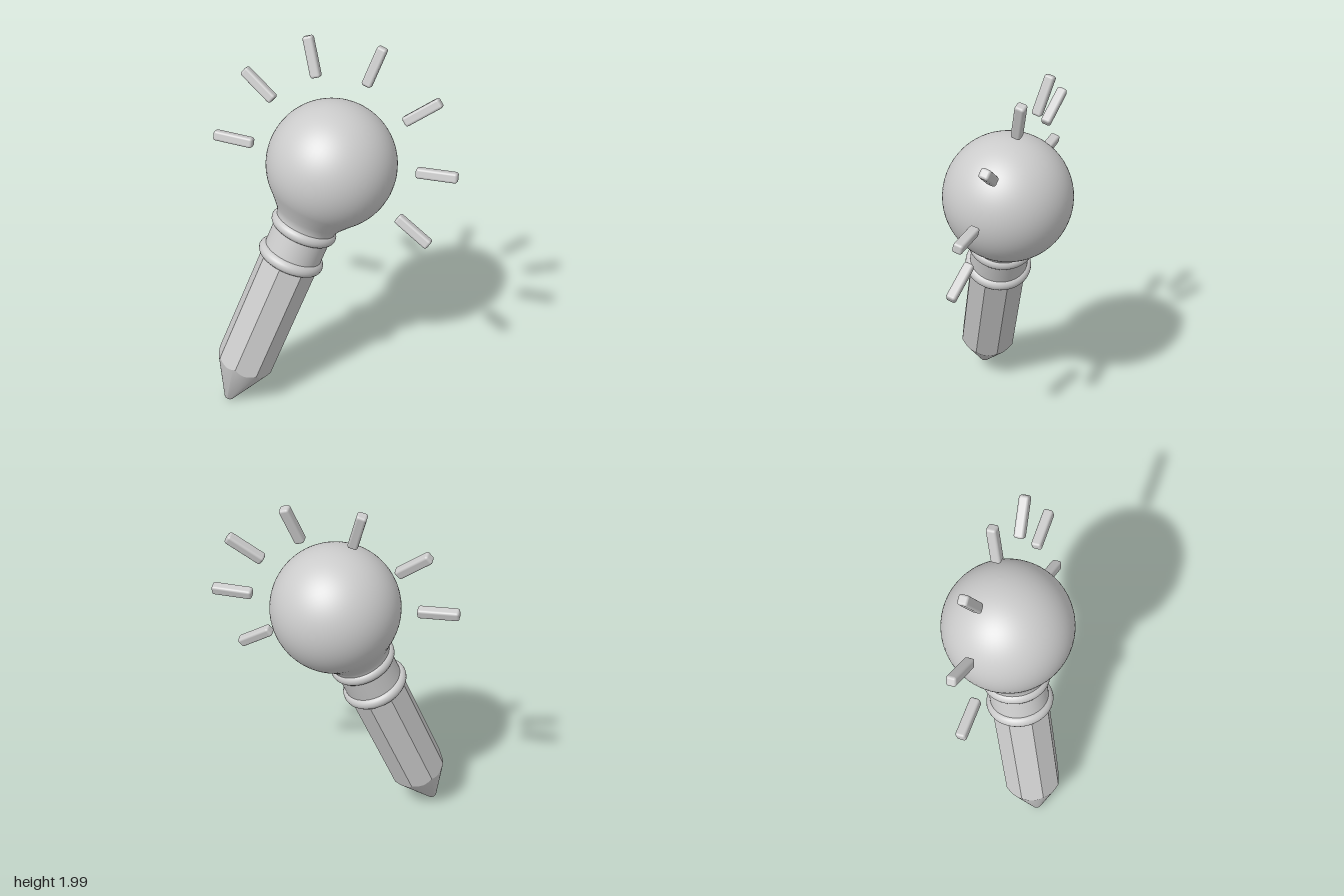
import * as THREE from 'three';
import { toCreasedNormals } from 'three/addons/utils/BufferGeometryUtils.js';
import { RoundedBoxGeometry } from 'three/addons/geometries/RoundedBoxGeometry.js';

const mat = new THREE.MeshStandardMaterial({ color: 0xcccccc });
const AXIS = new THREE.Vector3(0.386, 0.916, -0.107).normalize();
const BULB = new THREE.Vector3(0, 1.373, 0);
const LENGTH = 1.49; // pencil tip to bulb centre
const FLAT = 0.144; // centre of the shaft to each of its eight flats

const v2 = (p) => new THREE.Vector2(p[0], p[1]);

function add(parent, name, geometry) {
  const mesh = new THREE.Mesh(geometry, mat);
  mesh.name = name;
  parent.add(mesh);
  return mesh;
}

// radius of the octagon at an angle, flats facing the main axes
function octRadius(angle) {
  const q = Math.PI / 4;
  const a = angle - q * Math.round(angle / q);
  return FLAT / Math.cos(a);
}

// height on the sharpened cone at a given radius
const coneHeight = (r) => 0.01 + (r - 0.025) / 0.52;

// lathe whose wide rings are pressed to the octagon; low rings follow the cone
function octLathe(profile, crease) {
  const g = new THREE.LatheGeometry(profile.map(v2), 64);
  const p = g.attributes.position;
  for (let i = 0; i < p.count; i++) {
    const x = p.getX(i), y = p.getY(i), z = p.getZ(i);
    const r = Math.hypot(x, z);
    if (r < 0.1) continue;
    const o = octRadius(Math.atan2(x, z));
    p.setXYZ(i, x * o / r, y < 0.5 ? coneHeight(o) : y, z * o / r);
  }
  return toCreasedNormals(g, crease);
}

export function createModel() {
  const model = new THREE.Group();
  model.name = 'pencilBulb';

  // leaning pencil and bulb, built upright from the tip
  const body = new THREE.Group();
  body.name = 'pencilAndBulb';
  body.quaternion.setFromUnitVectors(new THREE.Vector3(0, 1, 0), AXIS);
  body.position.copy(BULB).addScaledVector(AXIS, -LENGTH);
  model.add(body);

  add(body, 'pencilTip', octLathe([[0, 0], [0.012, 0.001], [0.02, 0.004], [0.025, 0.01], [0.15, 0.25]], 0.6));
  add(body, 'pencilShaft', octLathe([[0.15, 0.25], [0.15, 0.93]], 0.4));

  // collar with two rounded rings
  const collar = add(body, 'collar', new THREE.CylinderGeometry(0.154, 0.154, 0.2, 64));
  collar.position.y = 1.023;
  for (const y of [0.933, 1.114]) {
    const ring = add(body, 'collarRing', new THREE.TorusGeometry(0.143, 0.034, 16, 64).rotateX(Math.PI / 2));
    ring.position.y = y;
  }

  // bulb: flared neck running into a sphere
  const profile = [[0.155, 1.1], [0.162, 1.145], [0.17, 1.168], [0.184, 1.19], [0.208, 1.22]];
  const R = 0.334, start = Math.acos((LENGTH - 1.255) / R);
  for (let i = 0; i <= 32; i++) {
    const a = start + (Math.PI - start) * i / 32;
    profile.push([Math.max(0, R * Math.sin(a)), LENGTH - R * Math.cos(a)]);
  }
  add(body, 'bulb', new THREE.LatheGeometry(profile.map(v2), 64));

  // seven light rays fanned around the bulb
  const rays = new THREE.Group();
  rays.name = 'lightRays';
  const side = new THREE.Vector3(0.86, -0.314, 0.403);
  side.addScaledVector(AXIS, -side.dot(AXIS)).normalize();
  const normal = new THREE.Vector3().crossVectors(side, AXIS);
  rays.quaternion.setFromRotationMatrix(new THREE.Matrix4().makeBasis(side, AXIS, normal));
  rays.position.copy(BULB).addScaledVector(AXIS, 0.018);
  model.add(rays);
  const rayGeometry = new RoundedBoxGeometry(0.052, 0.212, 0.052, 3, 0.013);
  for (let i = -3; i <= 3; i++) {
    const a = THREE.MathUtils.degToRad(35 * i);
    const ray = add(rays, 'lightRay', rayGeometry);
    ray.position.set(Math.sin(a) * 0.538, Math.cos(a) * 0.538, 0);
    ray.rotation.z = -a;
  }

  return model;
}
